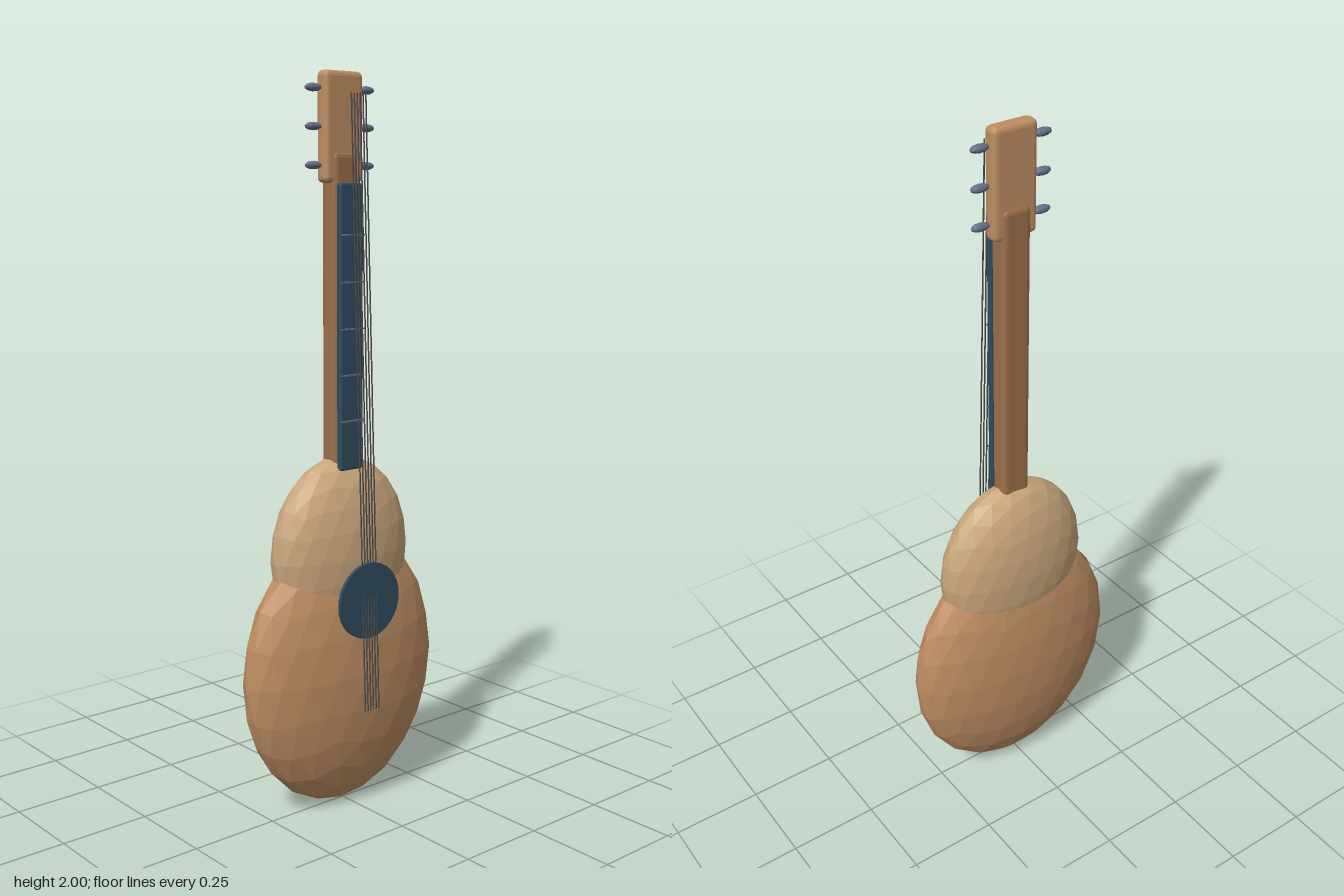
import * as THREE from 'three';
import { RoundedBoxGeometry } from 'three/addons/geometries/RoundedBoxGeometry.js';

const mat = (color) => new THREE.MeshStandardMaterial({ color, flatShading: true });
const wood = mat(0xbd8d62), paleWood = mat(0xc9a67b), neckWood = mat(0x9c6f4a);
const slate = mat(0x2f4b5e), metal = mat(0x666e85), wire = mat(0x4a4a4a);
const Z = -0.01; // depth of the instrument's middle plane

export function createModel() {
  const group = new THREE.Group();
  const add = (name, geometry, material, x, y, z) => {
    const mesh = new THREE.Mesh(geometry, material);
    mesh.name = name;
    mesh.position.set(x, y, z);
    group.add(mesh);
    return mesh;
  };

  // Faceted ellipsoid with one icosahedron corner at the top
  const ellipsoid = (rx, ry, rz, detail) =>
    new THREE.IcosahedronGeometry(1, detail)
      .rotateZ(-Math.atan(2 / (1 + Math.sqrt(5))))
      .scale(rx, ry, rz);

  // Body
  add('lowerBody', ellipsoid(0.325, 0.39, 0.12, 3), wood, 0, 0.395, Z);
  add('upperBody', ellipsoid(0.228, 0.27, 0.104, 3), paleWood, 0, 0.72, Z);
  add('soundHole', new THREE.CylinderGeometry(0.105, 0.105, 0.009, 32).rotateX(Math.PI / 2),
    slate, 0, 0.607, 0.111);

  // Neck, fingerboard and headstock
  add('neck', new RoundedBoxGeometry(0.084, 0.87, 0.058, 2, 0.015), neckWood, 0, 1.36, Z);
  add('fingerboard', new RoundedBoxGeometry(0.08, 0.76, 0.019, 2, 0.007), slate, 0, 1.335, 0.031);
  add('headstock', new RoundedBoxGeometry(0.128, 0.285, 0.044, 2, 0.014), wood, 0, 1.8575, Z);

  // Frets
  for (let i = 0; i < 5; i++) {
    add('fret', new THREE.BoxGeometry(0.076, 0.004, 0.006), metal, 0, 1.09 + i * 0.123, 0.043);
  }

  // Tuning pegs, three on each side
  const peg = ellipsoid(1, 1, 1, 1).rotateZ(Math.PI / 2).scale(0.027, 0.011, 0.0125);
  for (const side of [-1, 1]) {
    for (const y of [1.76, 1.858, 1.955]) add('tuningPeg', peg, metal, side * 0.09, y, Z);
  }

  // Six strings sloping back towards the headstock
  const low = new THREE.Vector3(0, 0.3, 0.126), high = new THREE.Vector3(0, 1.94, 0.064);
  const span = high.clone().sub(low);
  const stringGeometry = new THREE.CylinderGeometry(0.002, 0.002, span.length(), 6);
  for (let i = 0; i < 6; i++) {
    const string = add('string', stringGeometry, wire, (i - 2.5) * 0.0098,
      (low.y + high.y) / 2, (low.z + high.z) / 2);
    string.rotation.x = Math.atan2(span.z, span.y);
  }
  return group;
}
